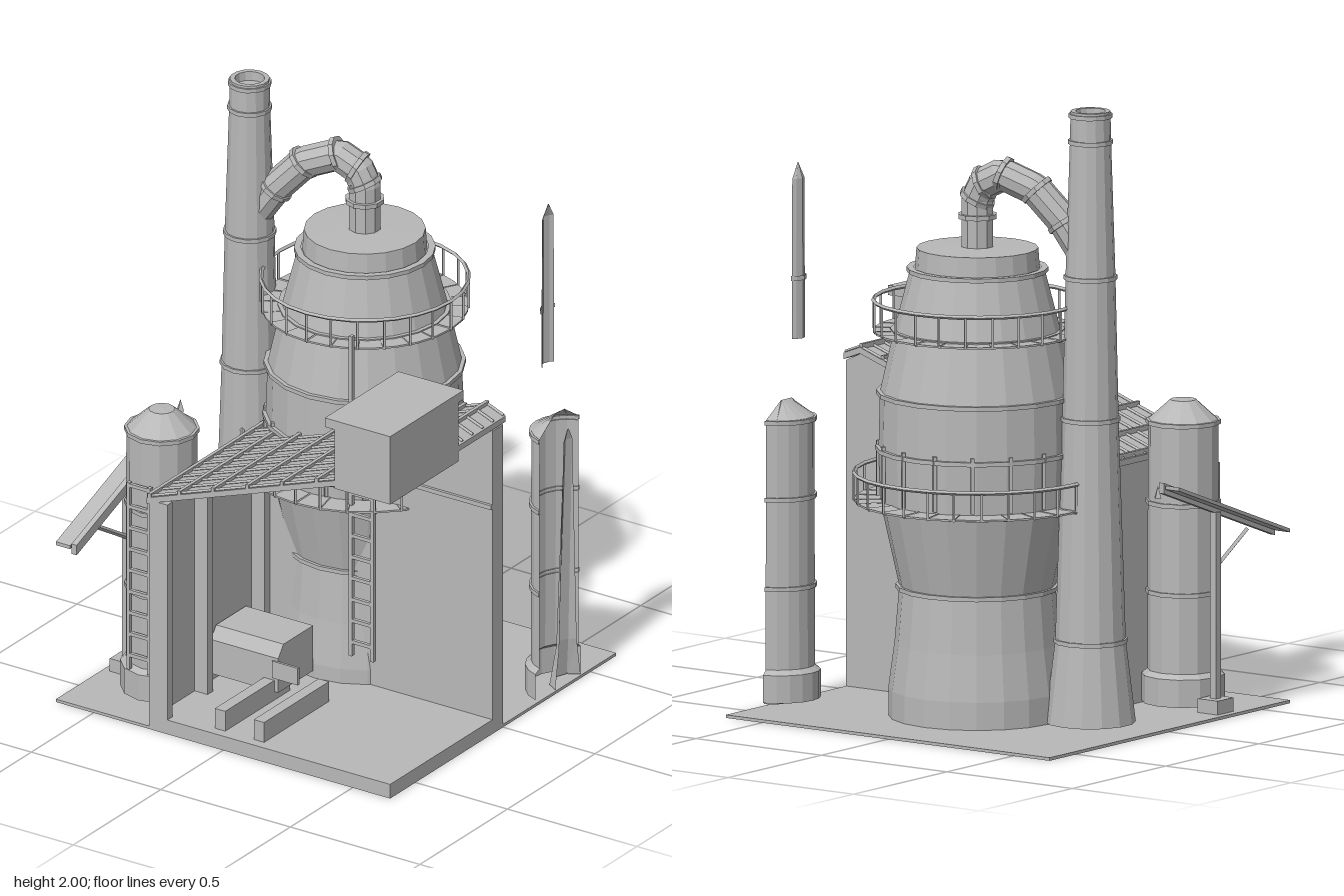
import * as THREE from 'three';

export function createModel() {
  const root = new THREE.Group();
  const grey = new THREE.MeshStandardMaterial({ color: 0xb8b8b8, flatShading: true, side: THREE.DoubleSide });
  grey.name = 'plain grey';

  // helpers
  const add = (name, geo, x = 0, y = 0, z = 0, parent = root) => {
    const m = new THREE.Mesh(geo, grey);
    m.name = name;
    m.position.set(x, y, z);
    parent.add(m);
    return m;
  };
  const group = (name, x = 0, y = 0, z = 0) => {
    const g = new THREE.Group();
    g.name = name;
    g.position.set(x, y, z);
    root.add(g);
    return g;
  };
  // box given by its limits
  const box = (name, x0, x1, y0, y1, z0, z1, parent = root) =>
    add(name, new THREE.BoxGeometry(x1 - x0, y1 - y0, z1 - z0), (x0 + x1) / 2, (y0 + y1) / 2, (z0 + z1) / 2, parent);
  // profile is a list of [radius, height]
  const lathe = (profile, sides, start = 0, arc = Math.PI * 2) =>
    new THREE.LatheGeometry(profile.map(([r, y]) => new THREE.Vector2(r, y)), sides, start, arc);
  const band = (parent, r, y, sides, h = 0.014, out = 0.012) =>
    add('band', lathe([[r - 0.01, y - h / 2], [r + out, y - h / 2], [r + out, y + h / 2], [r - 0.01, y + h / 2]], sides), 0, 0, 0, parent);
  // round or square bar between two points
  const bar = (name, a, b, r, sides = 4, parent = root) => {
    const p = new THREE.Vector3(...a), q = new THREE.Vector3(...b);
    const m = add(name, new THREE.CylinderGeometry(r, r, p.distanceTo(q), sides), 0, 0, 0, parent);
    m.position.copy(p).lerp(q, 0.5);
    m.quaternion.setFromUnitVectors(new THREE.Vector3(0, 1, 0), q.sub(p).normalize());
    return m;
  };
  const extrude = (name, pts, z0, z1) => {
    const s = new THREE.Shape(pts.map(([x, y]) => new THREE.Vector2(x, y)));
    return add(name, new THREE.ExtrudeGeometry(s, { depth: z1 - z0, bevelEnabled: false }), 0, 0, z0);
  };
  const ladder = (name, x0, x1, y0, y1, z, leftTop = y1) => {
    const g = group(name);
    box('rail', x0 - 0.006, x0 + 0.006, y0, leftTop, z - 0.008, z + 0.008, g);
    box('rail', x1 - 0.006, x1 + 0.006, y0, y1, z - 0.008, z + 0.008, g);
    for (let y = y0 + 0.05; y <= y1; y += 0.075) box('rung', x0, x1, y - 0.006, y + 0.006, z - 0.006, z + 0.006, g);
  };

  // ground
  box('ground', -0.645, 0.645, 0, 0.01, -0.645, 0.645);
  box('shedFloor', -0.28, 0.645, 0, 0.05, 0, 0.645);

  // furnace
  const furnace = group('furnace', 0, 0, -0.164);
  add('furnaceBody', lathe([[0, 0.01], [0.285, 0.01], [0.285, 0.1], [0.265, 0.25], [0.25, 0.43], [0.31, 0.7],
    [0.316, 0.88], [0.312, 1.06], [0.267, 1.26], [0.215, 1.46], [0.2, 1.46], [0.195, 1.53], [0, 1.535]], 20), 0, 0, 0, furnace);
  for (const [r, y] of [[0.25, 0.43], [0.31, 0.7], [0.316, 0.88], [0.312, 1.06], [0.267, 1.26], [0.215, 1.46]]) band(furnace, r, y, 20);
  for (let i = 0; i < 16; i++) {
    const a = (i + 0.5) * Math.PI / 8, c = Math.cos(a), s = Math.sin(a);
    bar('staveRib', [c * 0.318, 0.72, s * 0.318], [c * 0.318, 0.9, s * 0.318], 0.008, 4, furnace);
  }

  // round walkways with railings
  const walkway = (name, rIn, rOut, deckY, railY, count) => {
    const g = group(name, 0, 0, -0.164);
    add('deck', lathe([[rIn, deckY - 0.003], [rOut, deckY - 0.003], [rOut, deckY + 0.003], [rIn, deckY + 0.003]], 28), 0, 0, 0, g);
    const rail = add('handrail', new THREE.TorusGeometry(rOut, 0.007, 4, 28), 0, railY, 0, g);
    rail.rotation.x = Math.PI / 2;
    for (let i = 0; i < count; i++) {
      const a = i * 2 * Math.PI / count, c = Math.cos(a), s = Math.sin(a);
      bar('post', [c * rOut, deckY, s * rOut], [c * rOut, railY, s * rOut], 0.005, 4, g);
      bar('joist', [c * rIn, deckY, s * rIn], [c * rOut, deckY, s * rOut], 0.006, 4, g);
    }
  };
  walkway('lowerWalkway', 0.3, 0.395, 0.71, 0.8, 28);
  walkway('upperWalkway', 0.26, 0.333, 1.26, 1.36, 24);

  // gas pipe from furnace top to chimney
  const path = [[0, 1.52, -0.164], [0, 1.69, -0.164], [-0.025, 1.74, -0.16], [-0.09, 1.775, -0.147],
    [-0.2, 1.73, -0.115], [-0.29, 1.63, -0.085], [-0.35, 1.54, -0.07]];
  const curve = new THREE.CurvePath();
  for (let i = 1; i < path.length; i++) {
    curve.add(new THREE.LineCurve3(new THREE.Vector3(...path[i - 1]), new THREE.Vector3(...path[i])));
    const p = new THREE.Vector3(...path[i - 1]), d = new THREE.Vector3(...path[i]).sub(p).normalize().multiplyScalar(0.008);
    if (i > 1) bar('pipeCollar', p.clone().sub(d).toArray(), p.clone().add(d).toArray(), 0.06, 10);
  }
  add('gasPipe', new THREE.TubeGeometry(curve, 36, 0.053, 10));
  bar('pipeFlange', [0, 1.625, -0.164], [0, 1.64, -0.164], 0.064, 10);

  // chimney
  const chimney = group('chimney', -0.378, 0, -0.066);
  add('chimneyStack', lathe([[0, 0.015], [0.145, 0.015], [0.113, 0.28], [0.09, 1], [0.08, 1.46], [0.066, 1.9],
    [0.064, 2], [0.048, 2], [0.046, 1.97], [0, 1.97]], 14), 0, 0, 0, chimney);
  for (const [r, y] of [[0.113, 0.28], [0.09, 1], [0.08, 1.46], [0.066, 1.9], [0.064, 1.985]]) band(chimney, r, y, 14, 0.014, 0.006);

  // silo with ladder
  const siloProfile = [[0.134, 0.02], [0.134, 0.11], [0.115, 0.125], [0.114, 0.935], [0.042, 1], [0, 1.002]];
  const silo = group('silo', -0.41, 0, 0.388);
  add('siloBody', lathe([[0, 0.02], ...siloProfile], 12), 0, 0, 0, silo);
  for (const y of [0.38, 0.67, 0.93]) band(silo, 0.114, y, 12, 0.014, 0.007);
  ladder('siloLadder', -0.45, -0.37, 0.12, 0.78, 0.515);

  // partial tank, pipe and stack ending at the edge of the plot
  const cutAtEdge = (name, profile, sides, x, z, half) => {
    const geo = lathe(profile, sides, Math.PI * 1.5 - half, half * 2);
    const p = geo.attributes.position;
    for (let i = 0; i < p.count; i++) p.setX(i, Math.min(p.getX(i), 0.645 - x));
    add(name, geo, x, 0, z);
  };
  cutAtEdge('edgeTank', siloProfile.slice(0, 4).concat([[0.03, 0.99]]), 8, 0.675, -0.32, 1.32);
  for (const y of [0.38, 0.67, 0.92]) cutAtEdge('edgeTankBand', [[0.11, y], [0.122, y], [0.122, y + 0.014], [0.11, y + 0.014]], 8, 0.675, -0.32, 1.32);
  cutAtEdge('edgeStack', [[0.072, 0.015], [0.05, 0.15], [0.025, 0.87], [0.004, 0.91]], 4, 0.66, -0.37, 1.5);
  cutAtEdge('edgePipe', [[0.033, 1.18], [0.031, 1.7], [0.002, 1.75]], 4, 0.658, -0.258, 1.5);
  cutAtEdge('edgePipeBand', [[0.038, 1.37], [0.038, 1.385]], 4, 0.658, -0.258, 1.5);

  // casting shed walls
  extrude('shedBackWall', [[-0.28, 0], [0.645, 0], [0.645, 1.07], [0.58, 1.1], [-0.28, 0.79]], 0, 0.06);
  box('shedSideWall', -0.285, -0.265, 0, 0.795, 0, 0.645);
  for (const z of [0.06, 0.385, 0.615]) box('wallPost', -0.285, -0.215, 0.02, 0.81, z, z + 0.03);
  box('wallBeam', 0.3, 0.645, 0.795, 0.81, 0.055, 0.07);

  // shed roof with raised ribs
  extrude('shedRoof', [[-0.295, 0.795], [0.58, 1.1], [0.645, 1.075], [0.645, 1.095], [0.58, 1.12], [-0.295, 0.815]], -0.015, 0.645);
  const roofY = x => x < 0.58 ? 0.815 + (x + 0.295) * 0.3486 : 1.12 - (x - 0.58) * 0.385;
  for (const x of [-0.285, -0.17, -0.04, 0.093, 0.226, 0.36, 0.49, 0.575])
    box('roofRib', x - 0.006, x + 0.006, roofY(x) - 0.005, roofY(x) + 0.014, -0.015, 0.645);
  for (let i = 0; i < 12; i++) {
    const z = -0.01 + i * 0.0586;
    bar('roofPurlin', [-0.295, 0.817, z], [0.58, 1.122, z], 0.006);
    bar('roofPurlin', [0.58, 1.122, z], [0.64, 1.099, z], 0.006);
  }

  // roof house
  box('roofHouse', 0.43, 0.645, 1.04, 1.25, 0.255, 0.645);
  box('roofHouseTop', 0.393, 0.645, 1.248, 1.28, 0.225, 0.645);

  // furnace ladder
  ladder('furnaceLadder', 0.155, 0.238, 0.18, 1.11, 0.14, 1.31);

  // tapping machine with runners
  const side = [[0.13, 0.08], [0.33, 0.08], [0.33, 0.2], [0.3, 0.24], [0.13, 0.24]];
  const tap = extrude('tapHouse', side, -0.17, 0.09);
  tap.rotation.y = -Math.PI / 2;
  tap.position.set(0.17, 0, 0);
  tap.geometry.translate(0, 0, 0.17);
  box('tapDoor', -0.02, 0.08, 0.13, 0.19, 0.328, 0.337);
  for (const x of [-0.035, 0.115]) box('runner', x - 0.02, x + 0.02, 0.05, 0.12, 0.24, 0.61);

  // sloping conveyor on the left edge
  const slope = (name, x0, x1, y, h) => {
    const m = extrude(name, [[0.05, y + 0.22], [0.645, y], [0.645, y + h], [0.05, y + 0.22 + h]], 0, x1 - x0);
    m.rotation.y = -Math.PI / 2;
    m.position.set(x1, 0, 0);
  };
  slope('conveyorBelt', -0.645, -0.59, 0.555, 0.012);
  slope('conveyorRail', -0.585, -0.565, 0.54, 0.035);
  box('conveyorLeg', -0.592, -0.568, 0.04, 0.66, 0.32, 0.345);
  box('conveyorFoot', -0.62, -0.54, 0.01, 0.055, 0.29, 0.375);
  bar('conveyorBrace', [-0.58, 0.48, 0.335], [-0.58, 0.58, 0.5], 0.008);
  add('conveyorTip', new THREE.ConeGeometry(0.014, 0.04, 4), -0.631, 0.785, -0.045);

  return root;
}
